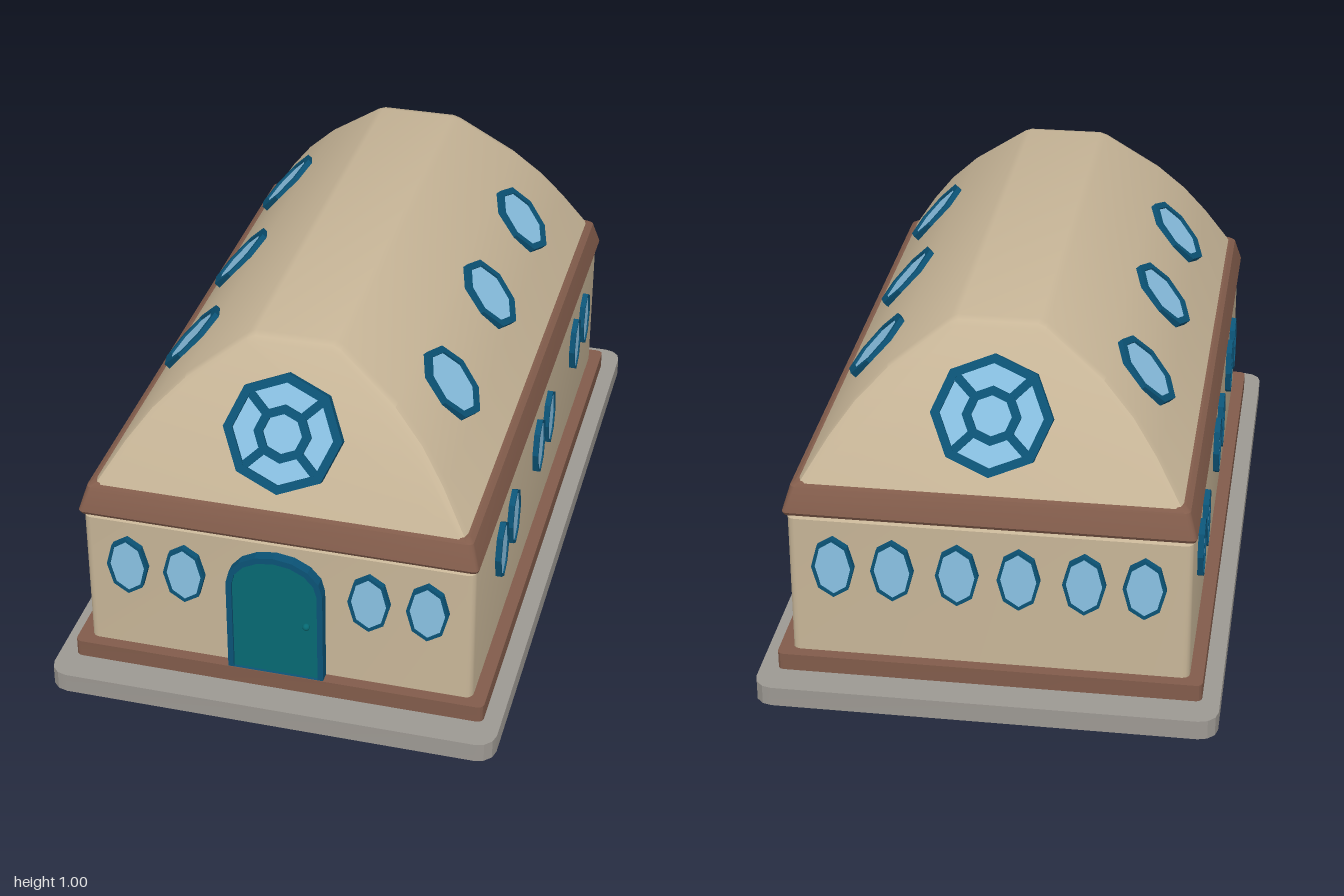
import * as THREE from 'three';
import { toCreasedNormals } from 'three/addons/utils/BufferGeometryUtils.js';

const mat = (name, color) => {
  const m = new THREE.MeshStandardMaterial({ color });
  m.name = name;
  return m;
};

// Skin a series of equal-length convex rings; the last end is capped, the first if closed
function loft(rings, { crease = 0.6, closed = true } = {}) {
  const pos = [];
  const tri = (...pts) => pts.forEach((p) => pos.push(p[0], p[1], p[2]));
  const n = rings[0].length;
  for (let r = 0; r < rings.length - 1; r++) {
    for (let i = 0; i < n; i++) {
      const j = (i + 1) % n;
      const a = rings[r], b = rings[r + 1];
      tri(a[i], a[j], b[j]);
      tri(a[i], b[j], b[i]);
    }
  }
  const first = rings[0], last = rings[rings.length - 1];
  for (let i = 1; i < n - 1; i++) {
    if (closed) tri(first[0], first[i + 1], first[i]);
    tri(last[0], last[i], last[i + 1]);
  }
  const g = new THREE.BufferGeometry();
  g.setAttribute('position', new THREE.Float32BufferAttribute(pos, 3));
  g.computeVertexNormals();
  return toCreasedNormals(g, crease);
}

// Horizontal rectangle with rounded corners
function rectRing(hx, hz, y, r, steps = 3) {
  const pts = [];
  [[1, 1], [1, -1], [-1, -1], [-1, 1]].forEach(([sx, sz], c) => {
    for (let k = 0; k <= steps; k++) {
      const a = (c + k / steps) * Math.PI / 2;
      pts.push([sx * (hx - r) + r * Math.sin(a), y, sz * (hz - r) + r * Math.cos(a)]);
    }
  });
  return pts;
}

const octagon = (Type, rx, ry) => new Type(Array.from({ length: 8 }, (_, i) => {
  const a = i * Math.PI / 4;
  return new THREE.Vector2(rx * Math.cos(a), ry * Math.sin(a));
}));

const extrude = (shape, depth) =>
  new THREE.ExtrudeGeometry(shape, { depth, bevelEnabled: false });

function octagonRing(rx, ry, width, depth) {
  const s = octagon(THREE.Shape, rx, ry);
  s.holes.push(octagon(THREE.Path, rx - width, ry - width));
  return extrude(s, depth);
}

export function createModel() {
  const model = new THREE.Group();
  model.name = 'longHouse';
  const tan = mat('tan plaster', 0xc8b698);
  const brown = mat('brown trim', 0x825c4b);
  const stone = mat('grey stone', 0x9d9993);
  stone.side = THREE.DoubleSide;
  const navy = mat('blue frame', 0x0b5376);
  const glass = mat('light blue glass', 0x8ac2e4);
  const teal = mat('teal door', 0x066a73);

  const add = (parent, name, geometry, material) => {
    const m = new THREE.Mesh(geometry, material);
    m.name = name;
    parent.add(m);
    return m;
  };

  // Base slab, hollow underneath
  add(model, 'foundation', loft(
    [rectRing(0.607, 1, 0, 0.05), rectRing(0.607, 1, 0.054, 0.05)],
    { crease: 0.3, closed: false },
  ), stone);

  // Plinth, walls and eaves
  add(model, 'plinth', loft([rectRing(0.56, 0.91, 0.0545, 0.016), rectRing(0.56, 0.91, 0.102, 0.016)], { crease: 0.3 }), brown);
  add(model, 'walls', loft([
    rectRing(0.524, 0.878, 0.1, 0.02), rectRing(0.524, 0.878, 0.496, 0.02), rectRing(0.512, 0.866, 0.513, 0.02),
  ]), tan);
  add(model, 'eaves', loft([
    rectRing(0.53, 0.887, 0.511, 0.014), rectRing(0.533, 0.892, 0.52, 0.014),
    rectRing(0.513, 0.872, 0.587, 0.014), rectRing(0.5, 0.86, 0.597, 0.014),
  ]), brown);

  // Curved roof with sloping ends and softened ridge and end edges
  const half = [[0.495, 0.594], [0.425, 0.707], [0.36, 0.795], [0.28, 0.877], [0.125, 0.992], [0.105, 1]];
  const profile = [...half, ...half.map(([x, y]) => [-x, y]).reverse()];
  const endZ = (y) => 0.861 - 0.445 * (y - 0.6);
  const slice = (side, scale, inset) => profile.map(([x, y]) => {
    const py = 0.594 + (y - 0.594) * scale;
    return [x * scale, py, side * (endZ(py) - inset)];
  });
  add(model, 'roof', loft([
    slice(-1, 0.96, 0), slice(-1, 0.988, 0.007), slice(-1, 1, 0.026),
    slice(1, 1, 0.026), slice(1, 0.988, 0.007), slice(1, 0.96, 0),
  ]), tan);

  // Group facing outward at a given heading and tilt
  const mount = (name, x, y, z, yaw, tilt = 0) => {
    const g = new THREE.Group();
    g.name = name;
    g.position.set(x, y, z);
    g.rotation.set(-tilt, yaw, 0, 'YXZ');
    model.add(g);
    return g;
  };

  // Octagonal windows share their geometry by kind
  const windowKind = (rx, ry, width, depth, recess) => ({
    frame: octagonRing(rx, ry, width, depth),
    pane: extrude(octagon(THREE.Shape, rx - width, ry - width), depth - recess),
  });
  const wallKind = windowKind(0.056, 0.087, 0.009, 0.02, 0.004);
  const roofKind = windowKind(0.107, 0.107, 0.02, 0.022, 0.006);
  const addWindow = (group, kind) => {
    add(group, 'windowFrame', kind.frame, navy);
    add(group, 'windowPane', kind.pane, glass);
  };

  for (const x of [-0.404, -0.249, 0.249, 0.404]) {
    addWindow(mount('frontWindow', x, 0.367, 0.875, 0), wallKind);
  }
  for (const x of [-0.404, -0.249, -0.08, 0.08, 0.249, 0.404]) {
    addWindow(mount('backWindow', x, 0.367, -0.875, Math.PI), wallKind);
  }
  for (const side of [1, -1]) {
    const yaw = side * Math.PI / 2;
    for (const z of [0.572, 0.417, 0.064, -0.09, -0.503, -0.658]) {
      addWindow(mount('sideWindow', side * 0.52, 0.367, z, yaw), wallKind);
    }
    for (const z of side > 0 ? [0.465, -0.007, -0.452] : [0.415, -0.03, -0.503]) {
      addWindow(mount('roofWindow', side * 0.352, 0.787, z, yaw, 0.73), roofKind);
    }
  }

  // Large round window on each roof end: two rings joined by four bars
  const roseDepth = 0.026;
  const outerRing = octagonRing(0.157, 0.157, 0.024, roseDepth);
  const innerRing = octagonRing(0.076, 0.076, 0.024, roseDepth);
  const rosePane = extrude(octagon(THREE.Shape, 0.135, 0.135), roseDepth - 0.008);
  const bar = new THREE.BoxGeometry(0.075, 0.022, roseDepth - 0.002);
  for (const side of [1, -1]) {
    const g = mount('gableWindow', 0, 0.78, side * (endZ(0.78) - 0.003), side > 0 ? 0 : Math.PI, Math.atan(0.445));
    add(g, 'outerRing', outerRing, navy);
    add(g, 'innerRing', innerRing, navy);
    add(g, 'gablePane', rosePane, glass);
    for (let i = 0; i < 4; i++) {
      const a = Math.PI / 4 + i * Math.PI / 2;
      const b = add(g, 'windowBar', bar, navy);
      b.position.set(0.105 * Math.cos(a), 0.105 * Math.sin(a), roseDepth / 2 - 0.001);
      b.rotation.z = a;
    }
  }

  // Arched door, its frame and knob
  const arch = (Type, w, spring, rise) => {
    const pts = [new THREE.Vector2(-w, 0), new THREE.Vector2(w, 0)];
    for (let i = 0; i <= 8; i++) {
      const a = i * Math.PI / 8;
      pts.push(new THREE.Vector2(w * Math.cos(a), spring + rise * Math.sin(a)));
    }
    return new Type(pts);
  };
  const door = mount('door', 0, 0.102, 0.87, 0);
  const frame = arch(THREE.Shape, 0.13, 0.274, 0.1);
  frame.holes.push(arch(THREE.Path, 0.115, 0.27, 0.087));
  add(door, 'doorFrame', extrude(frame, 0.038), navy);
  add(door, 'doorPanel', extrude(arch(THREE.Shape, 0.116, 0.27, 0.088), 0.03), teal);
  const knob = add(door, 'doorKnob', new THREE.SphereGeometry(0.01, 12, 8), teal);
  knob.position.set(0.085, 0.168, 0.034);

  return model;
}
